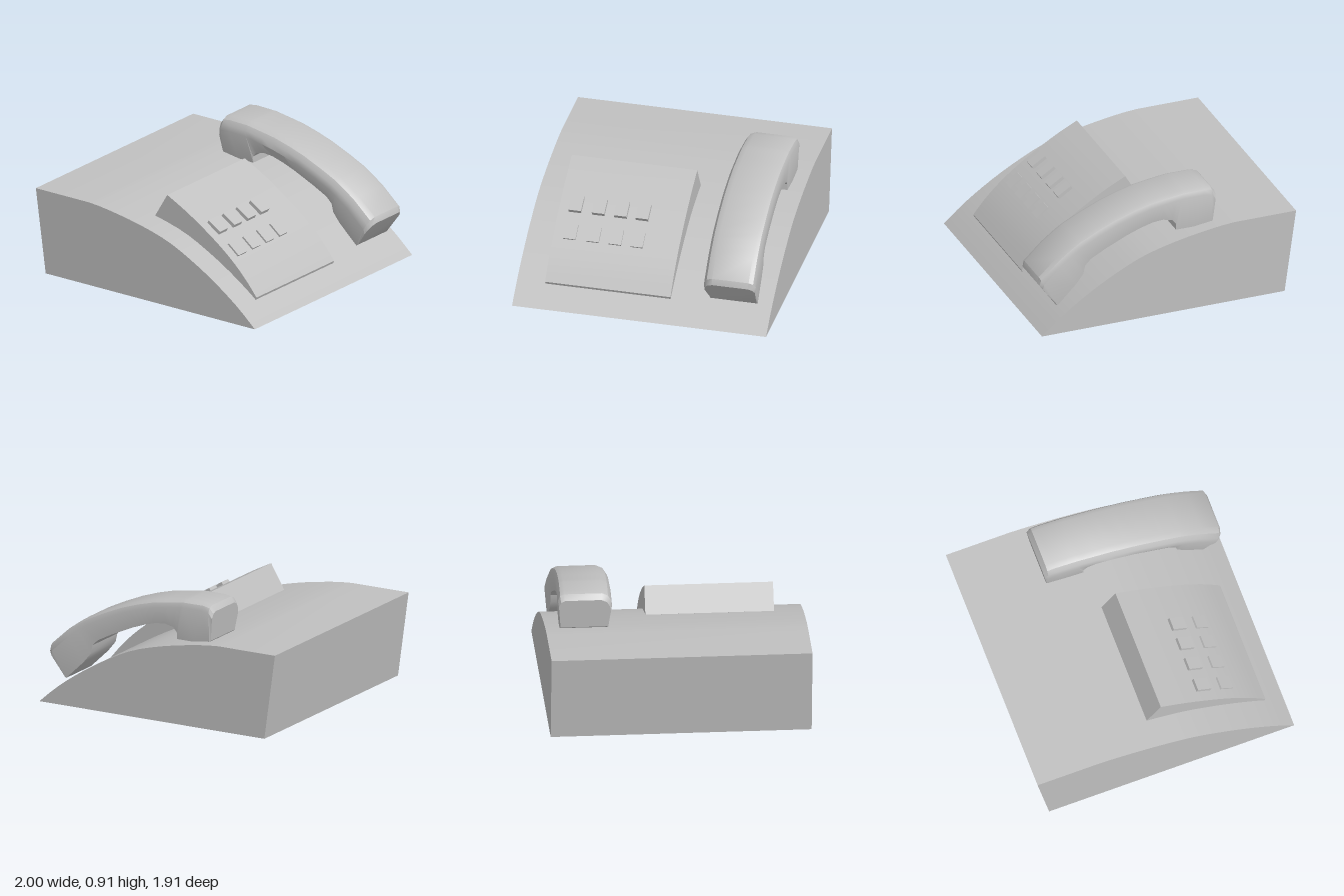
import * as THREE from 'three';
import { toCreasedNormals } from 'three/addons/utils/BufferGeometryUtils.js';

const grey = new THREE.MeshStandardMaterial({ color: 0xc0c0c0 });
grey.name = 'light grey plastic';

// Extrude a side profile (x, y) between two z positions
function slab(name, profile, z0, z1) {
  const shape = new THREE.Shape(profile.map(([x, y]) => new THREE.Vector2(x, y)));
  const geo = new THREE.ExtrudeGeometry(shape, { depth: z1 - z0, bevelEnabled: false });
  geo.translate(0, 0, z0);
  const mesh = new THREE.Mesh(toCreasedNormals(geo, 0.4), grey);
  mesh.name = name;
  return mesh;
}

// Sample a smooth curve through a few points
function smooth(points, n) {
  const curve = new THREE.SplineCurve(points.map(([x, y]) => new THREE.Vector2(x, y)));
  return curve.getPoints(n).map((p) => [p.x, p.y]);
}

// Handset lofted along stations: top x, top y, bottom x, bottom y, width scale
function handset() {
  const stations = [
    [-0.412, 0.86, -0.39, 0.64, 0.96],
    [-0.38, 0.9, -0.38, 0.627, 1],
    [-0.33, 0.91, -0.25, 0.612, 1],
    [-0.17, 0.908, -0.1, 0.61, 1],
    [-0.15, 0.907, -0.1, 0.66, 1],
    [-0.11, 0.901, -0.07, 0.695, 1],
    [0.0, 0.886, 0.0, 0.71, 1],
    [0.1, 0.87, 0.08, 0.703, 1],
    [0.24, 0.833, 0.18, 0.675, 1],
    [0.37, 0.79, 0.28, 0.638, 1],
    [0.52, 0.727, 0.45, 0.562, 1],
    [0.66, 0.66, 0.57, 0.5, 1],
    [0.72, 0.622, 0.615, 0.455, 1],
    [0.76, 0.594, 0.63, 0.39, 1],
    [0.83, 0.543, 0.69, 0.315, 1],
    [0.97, 0.415, 0.835, 0.175, 1],
    [0.983, 0.37, 0.85, 0.185, 0.97],
  ];
  // Cross-section: z offset and distance below the top (null = bottom edge)
  const section = [
    [0.17, null], [0.198, 0.1], [0.19, 0.055], [0.168, 0.02], [0.125, 0],
    [-0.15, 0], [-0.182, 0.014], [-0.198, 0.05], [-0.185, null],
  ];
  const n = section.length;
  const pos = [];
  const index = [];
  for (const [tx, ty, bx, by, w] of stations) {
    const len = Math.hypot(tx - bx, ty - by);
    const bulge = 0.015 * Math.max(0, 1 - ((tx - 0.28) / 0.7) ** 2);
    for (const [z, d] of section) {
      const t = d === null ? 1 : d / len;
      pos.push(tx + (bx - tx) * t, ty + (by - ty) * t, -0.667 + z * w + bulge);
    }
  }
  const last = (stations.length - 1) * n;
  for (let i = 0; i < stations.length - 1; i++) {
    for (let j = 0; j < n; j++) {
      const a = i * n + j;
      const b = i * n + ((j + 1) % n);
      index.push(a, a + n, b, b, a + n, b + n);
    }
  }
  // End caps
  for (let j = 1; j < n - 1; j++) {
    index.push(0, j, j + 1, last, last + j + 1, last + j);
  }
  const geo = new THREE.BufferGeometry();
  geo.setAttribute('position', new THREE.Float32BufferAttribute(pos, 3));
  geo.setIndex(index);
  const mesh = new THREE.Mesh(toCreasedNormals(geo, 0.55), grey);
  mesh.name = 'handset';
  return mesh;
}

export function createModel() {
  const model = new THREE.Group();
  model.name = 'deskTelephone';

  // Wedge body with a curved top sloping down to one side
  const bodyTop = smooth([
    [-0.52, 0.645], [-0.36, 0.63], [-0.07, 0.58], [0.2, 0.507],
    [0.43, 0.4], [0.64, 0.278], [0.84, 0.138], [1, 0],
  ], 20);
  model.add(slab('body', [[-0.91, 0], [-1, 0.645], ...bodyTop], -0.955, 0.955));

  // Raised keypad panel
  const panelTop = smooth([
    [0.04, 0.765], [0.2, 0.683], [0.35, 0.593], [0.5, 0.492],
    [0.63, 0.39], [0.75, 0.275], [0.855, 0.15],
  ], 14);
  model.add(slab('keypadPanel', [[-0.07, 0.58], ...panelTop, [0.845, 0.125]], -0.2, 0.742));

  // Two rows of four keys
  const keys = new THREE.Group();
  keys.name = 'keys';
  const rows = [
    [[0.343, 0.59], [0.36, 0.617], [0.465, 0.551], [0.449, 0.522]],
    [[0.525, 0.462], [0.543, 0.478], [0.633, 0.406], [0.615, 0.383]],
  ];
  for (const row of rows) {
    for (const z of [0.113, 0.275, 0.442, 0.617]) keys.add(slab('key', row, z - 0.047, z + 0.047));
  }
  model.add(keys, handset());
  return model;
}
